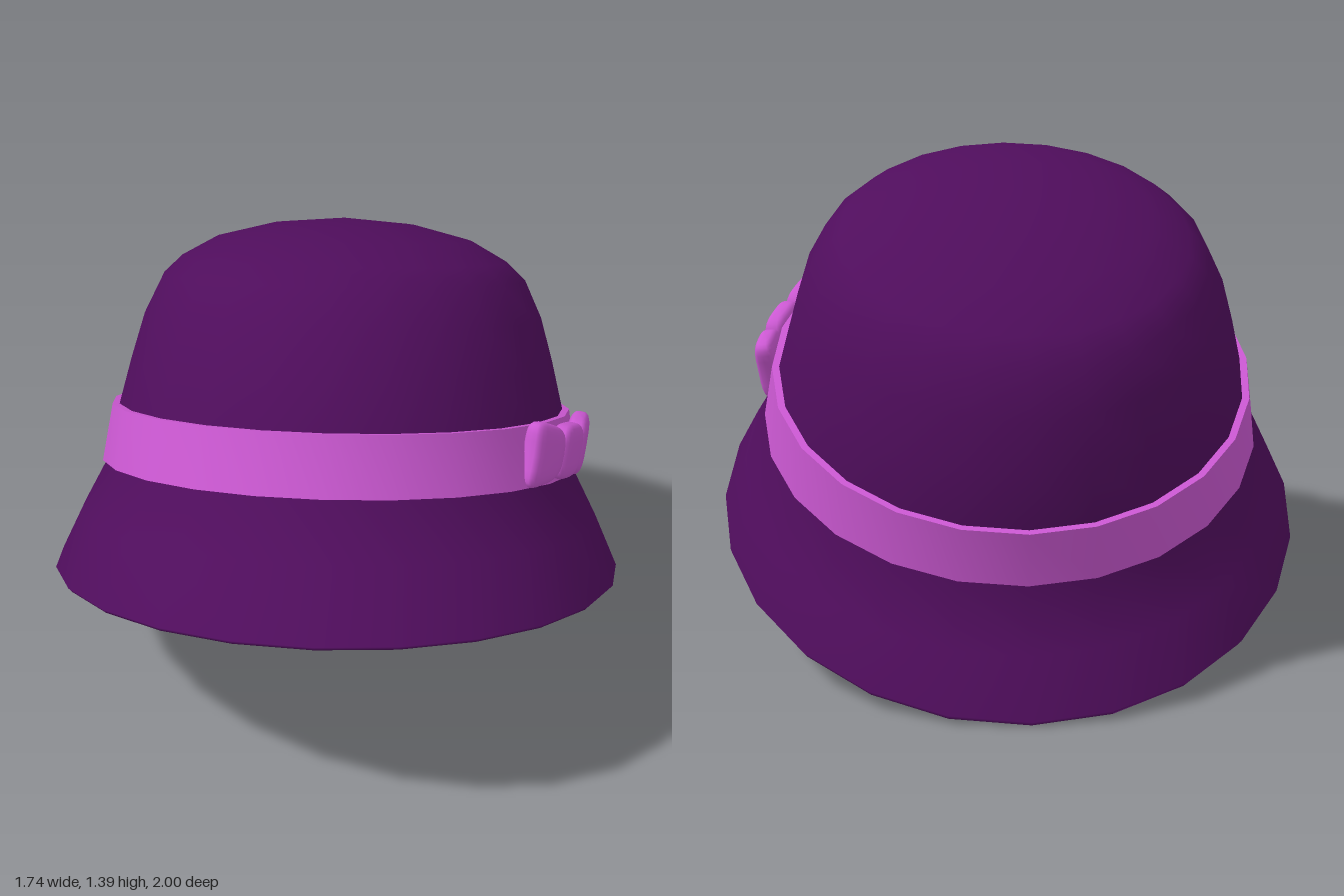
import * as THREE from 'three';
import { mergeVertices } from 'three/addons/utils/BufferGeometryUtils.js';

const SIDES = 24;

// Loft through tilted oval rings: [front z, front y, back z, back y, half width]
function loft(rings) {
  const pos = [], index = [];
  rings.forEach(([fz, fy, bz, by, rx], i) => {
    for (let j = 0; j < SIDES; j++) {
      const a = (j / SIDES) * Math.PI * 2;
      const t = (1 + Math.cos(a)) / 2;
      pos.push(rx * Math.sin(a), by + (fy - by) * t, bz + (fz - bz) * t);
      if (i === rings.length - 1) continue;
      const k = (j + 1) % SIDES;
      const p = i * SIDES + j, q = i * SIDES + k;
      index.push(p, q, p + SIDES, q, q + SIDES, p + SIDES);
    }
  });
  let g = new THREE.BufferGeometry();
  g.setAttribute('position', new THREE.Float32BufferAttribute(pos, 3));
  g.setIndex(index);
  g = mergeVertices(g, 1e-5);
  g.computeVertexNormals();
  return g;
}

// Shrink a ring about its centre and drop it, for the lining
function inset([fz, fy, bz, by, rx], k = 0.97, drop = 0.012) {
  const cz = (fz + bz) / 2, cy = (fy + by) / 2;
  const s = (v, c) => c + (v - c) * k;
  return [s(fz, cz), s(fy, cy) - drop, s(bz, cz), s(by, cy) - drop, rx * k];
}

// Soft pillow; half height goes from hIn to hOut along +x, with a notched end
function pillow(w, hIn, hOut, depth, notch) {
  let g = new THREE.SphereGeometry(1, 20, 14);
  g.deleteAttribute('uv');
  g.deleteAttribute('normal');
  g = mergeVertices(g, 1e-4);
  const p = g.attributes.position;
  const soft = (v) => Math.sign(v) * Math.pow(Math.abs(v), 0.6);
  for (let i = 0; i < p.count; i++) {
    const x = soft(p.getX(i)), y = soft(p.getY(i)), z = soft(p.getZ(i));
    const h = hIn + (hOut - hIn) * (x + 1) / 2;
    const cut = notch * Math.max(x, 0) * (1 - Math.min(1, y * y));
    p.setXYZ(i, x * w - cut, y * h, z * depth);
  }
  g.computeVertexNormals();
  return g;
}

export function createModel() {
  const felt = new THREE.MeshStandardMaterial({ color: 0x4f0d5c });
  felt.name = 'purple felt';
  const ribbon = new THREE.MeshStandardMaterial({ color: 0xcb58d2 });
  ribbon.name = 'pink ribbon';

  const model = new THREE.Group();
  model.name = 'hat';
  const add = (parent, name, geometry, material) => {
    const mesh = new THREE.Mesh(geometry, material);
    mesh.name = name;
    parent.add(mesh);
    return mesh;
  };

  // Brim and crown, from the brim edge up to the top
  const outer = [
    [1.0, 0.64, -1.0, 0.015, 0.87],
    [0.8, 0.77, -0.92, 0.17, 0.8],
    [0.63, 0.885, -0.845, 0.35, 0.72],
    [0.558, 1.045, -0.885, 0.52, 0.685],
    [0.47, 1.16, -0.895, 0.67, 0.65],
    [0.385, 1.275, -0.893, 0.82, 0.61],
    [0.27, 1.355, -0.865, 0.95, 0.557],
    [0.19, 1.382, -0.81, 1.03, 0.5],
    [0.04, 1.394, -0.7, 1.135, 0.39],
    [-0.12, 1.381, -0.53, 1.243, 0.22],
    [-0.32, 1.335, -0.32, 1.335, 0],
  ];
  const edge = [0.985, 0.622, -0.985, 0, 0.858];
  const lining = outer.slice(1).map((r) => inset(r)).reverse();
  add(model, 'brimAndCrown', loft([...lining, edge, ...outer]), felt);

  // Ribbon band, one strip per face so its edges stay sharp
  const low = [0.65, 0.89, -0.862, 0.35, 0.735];
  const high = [0.575, 1.053, -0.902, 0.513, 0.706];
  const lowIn = inset(low, 0.965, 0), highIn = inset(high, 0.965, 0);
  const band = new THREE.Group();
  band.name = 'band';
  model.add(band);
  add(band, 'bandOuter', loft([low, high]), ribbon);
  add(band, 'bandTop', loft([high, highIn]), ribbon);
  add(band, 'bandBottom', loft([lowIn, low]), ribbon);
  add(band, 'bandInner', loft([highIn, lowIn]), ribbon);

  // Bow on the left side, lying along the band
  const bow = new THREE.Group();
  bow.name = 'bow';
  const along = new THREE.Vector3(0.36, -0.34, -0.87).normalize();
  const out = new THREE.Vector3(0.92, 0, 0.38);
  out.addScaledVector(along, -out.dot(along)).normalize();
  const up = new THREE.Vector3().crossVectors(out, along);
  bow.quaternion.setFromRotationMatrix(new THREE.Matrix4().makeBasis(along, up, out));
  bow.position.set(0.68, 0.805, 0.155);
  model.add(bow);
  add(bow, 'knot', pillow(0.088, 0.083, 0.083, 0.036, 0), ribbon);
  for (const s of [1, -1]) {
    const side = new THREE.Group();
    side.name = s > 0 ? 'backLoop' : 'frontLoop';
    side.rotation.y = s > 0 ? 0 : Math.PI;
    const loop = add(side, 'loop', pillow(0.092, 0.075, 0.108, 0.034, 0.02), ribbon);
    loop.position.set(0.155, 0, -0.018 * 1);
    loop.rotation.y = 0.25;
    if (s < 0) {
      loop.position.z = 0.018;
      loop.rotation.y = -0.25;
    }
    bow.add(side);
  }
  return model;
}
